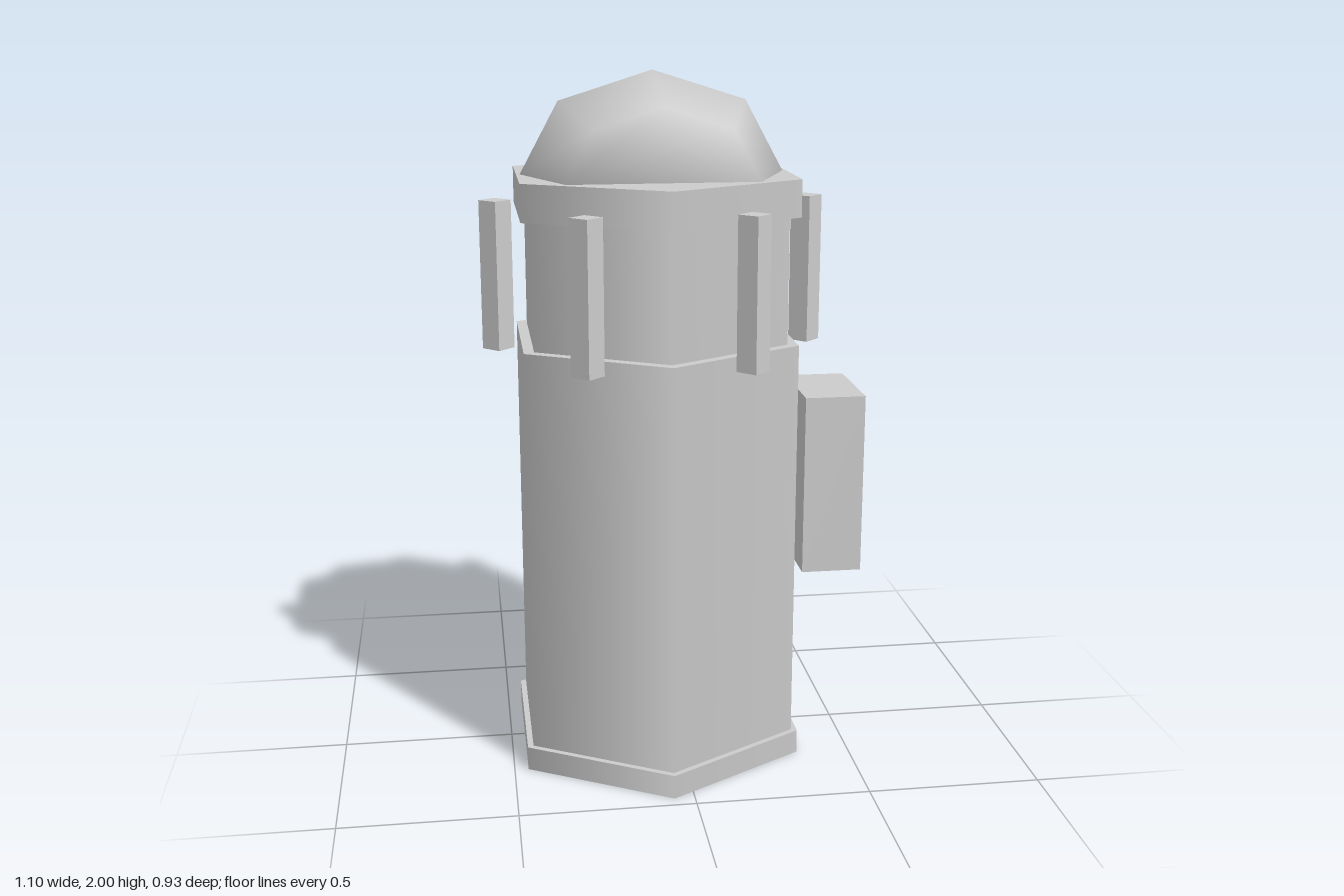
import * as THREE from 'three';

const AXIS_X = -0.058; // tower centre line

export function createModel() {
  const grey = new THREE.MeshStandardMaterial({ color: 0xcccccc });
  grey.name = 'light grey';

  const model = new THREE.Group();
  model.name = 'tower';

  const add = (name, geometry, x, y, z) => {
    const mesh = new THREE.Mesh(geometry, grey);
    mesh.name = name;
    mesh.position.set(x, y, z);
    model.add(mesh);
    return mesh;
  };

  // Stacked smooth-shaded hexagonal tiers: name, radius, bottom, top
  const tiers = [
    ['basePlinth', 0.464, 0, 0.07],
    ['towerBody', 0.445, 0.07, 1.25],
    ['upperDrum', 0.411, 1.25, 1.61],
    ['roofRing', 0.445, 1.61, 1.715],
  ];
  for (const [name, radius, bottom, top] of tiers) {
    const height = top - bottom;
    add(name, new THREE.CylinderGeometry(radius, radius, height, 6), AXIS_X, bottom + height / 2, 0);
  }

  // Faceted half dome lying along z, with its two ends cut flat
  const dome = new THREE.SphereGeometry(0.375, 4, 2, 0, Math.PI, Math.PI / 4, Math.PI / 2);
  const index = Array.from(dome.index.array);
  for (let i = 1; i < 4; i++) {
    index.push(0, i, i + 1); // end cap
    index.push(10, 10 + i + 1, 10 + i); // opposite end cap
  }
  dome.setIndex(index);
  dome.rotateX(-Math.PI / 2);
  dome.scale(1, 0.76, 1);
  add('dome', dome, AXIS_X, 1.715, 0);

  // Six square posts around the drum, all turned the same way
  const postGeometry = new THREE.BoxGeometry(0.064, 0.425, 0.064);
  postGeometry.rotateY(Math.PI / 4);
  for (let i = 0; i < 6; i++) {
    const a = (i * Math.PI) / 3;
    add(`post${i + 1}`, postGeometry, AXIS_X + 0.447 * Math.cos(a), 1.4325, 0.447 * Math.sin(a));
  }

  // Separate box beside the body
  add('sideBox', new THREE.BoxGeometry(0.177, 0.535, 0.285), 0.458, 0.8075, 0);

  return model;
}
